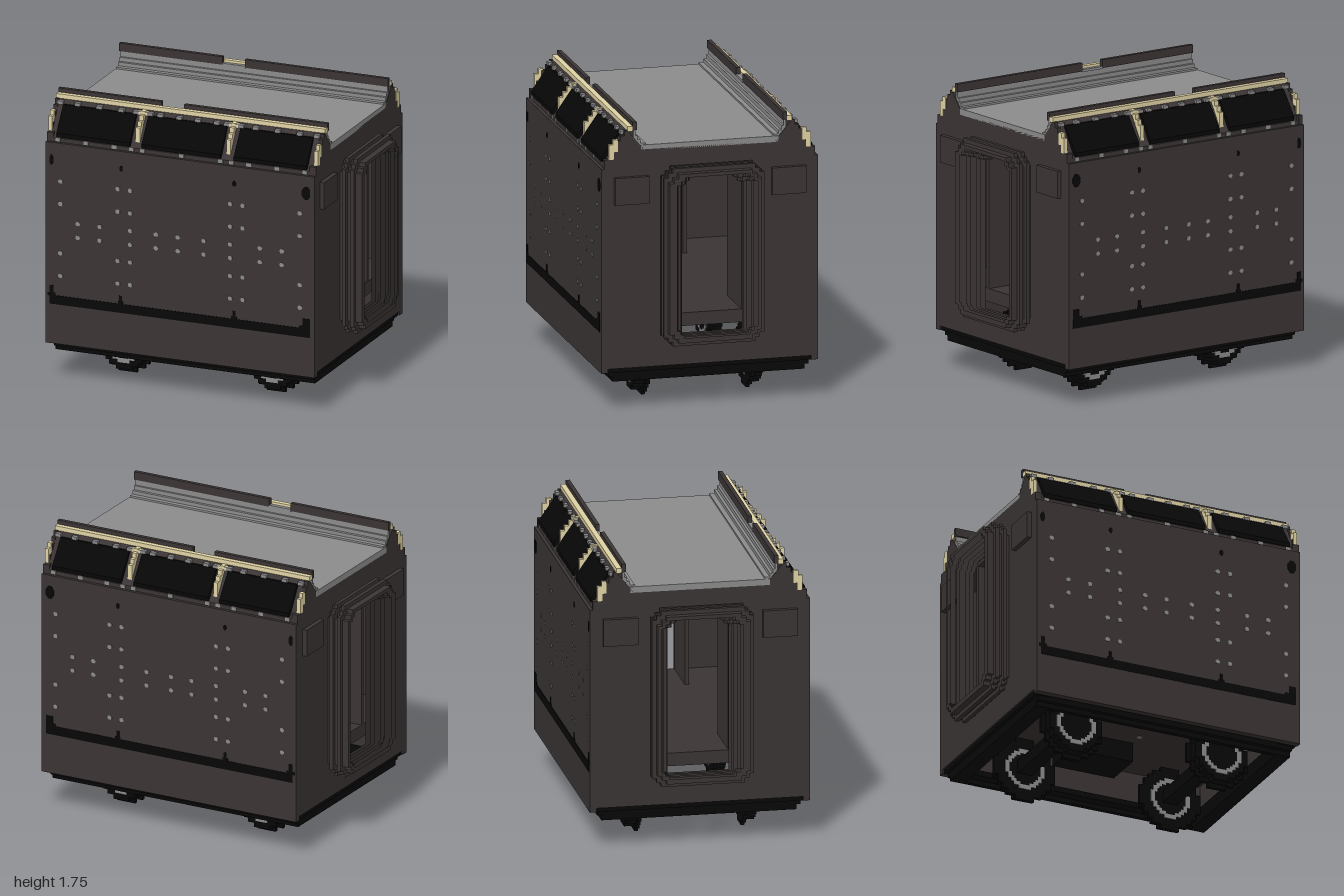
import * as THREE from 'three';

const mat = (name, color) => {
  const m = new THREE.MeshStandardMaterial({ color, flatShading: true });
  m.name = name;
  return m;
};

export function createModel() {
  const root = new THREE.Group();
  root.name = 'railCarriage';
  const brown = mat('dark brown', 0x3b3434);
  const black = mat('black', 0x070707);
  const grey = mat('roof grey', 0x8b8b8b);
  const cream = mat('cream', 0xdfd2a4);

  const add = (geo, m, name) => {
    const mesh = new THREE.Mesh(geo, m);
    mesh.name = name;
    root.add(mesh);
    return mesh;
  };
  // box given by its limits on each axis
  const box = (name, m, x0, x1, y0, y1, z0, z1) => {
    const mesh = add(new THREE.BoxGeometry(Math.abs(x1 - x0), Math.abs(y1 - y0), Math.abs(z1 - z0)), m, name);
    mesh.position.set((x0 + x1) / 2, (y0 + y1) / 2, (z0 + z1) / 2);
  };
  // section of [z, y] points swept along x, with an optional hole
  const sweep = (name, m, pts, x0, x1, hole) => {
    const toV = (list) => list.map(([z, y]) => new THREE.Vector2(-z, y));
    const shape = new THREE.Shape(toV(pts));
    if (hole) shape.holes.push(new THREE.Path(toV(hole)));
    const geo = new THREE.ExtrudeGeometry(shape, { depth: Math.abs(x1 - x0), bevelEnabled: false });
    geo.rotateY(Math.PI / 2).translate(Math.min(x0, x1), 0, 0);
    add(geo, m, name);
  };
  // rectangle with corners cut in two steps, s at the top and b at the bottom
  const stepped = (z0, z1, y0, y1, s, b = s) => {
    if (b === 0) b = 0.001;
    const out = [];
    const corner = [[0, 2], [1, 2], [1, 1], [2, 1], [2, 0]];
    const back = [...corner].reverse();
    corner.forEach(([i, j]) => out.push([z0 + i * b, y0 + j * b]));
    back.forEach(([i, j]) => out.push([z1 - i * b, y0 + j * b]));
    corner.forEach(([i, j]) => out.push([z1 - i * s, y1 - j * s]));
    back.forEach(([i, j]) => out.push([z0 + i * s, y1 - j * s]));
    return out;
  };
  // stair-edged circle outline of radius r
  const stair = (r) => {
    const quarter = [[0.3, 1], [0.3, 0.85], [0.55, 0.85], [0.55, 0.7], [0.7, 0.7], [0.7, 0.55], [0.85, 0.55], [0.85, 0.3], [1, 0.3]];
    const out = [];
    for (let q = 0; q < 4; q++)
      for (const [a, b] of quarter) {
        const [x, y] = [[a, b], [b, -a], [-a, -b], [-b, a]][q];
        out.push(new THREE.Vector2(x * r, y * r));
      }
    return out;
  };

  // floor, ceiling and roof
  box('floor', brown, -0.83, 0.83, 0.48, 0.56, -0.64, 0.64);
  box('ceiling', brown, -0.83, 0.83, 1.45, 1.48, -0.63, 0.63);
  box('roof', grey, -0.86, 0.86, 1.57, 1.607, -0.42, 0.42);

  // thin eight-sided spot on a side wall
  const spotGeo = new THREE.CylinderGeometry(0.5, 0.5, 0.008, 8).rotateY(Math.PI / 8).rotateX(Math.PI / 2);
  const spot = (name, m, x, y, w, h, s) => {
    const mesh = add(spotGeo, m, name);
    mesh.position.set(x, y, s * 0.659);
    mesh.scale.set(w, h, 1);
  };

  for (const s of [1, -1]) {
    const side = (pts) => pts.map(([z, y]) => [s * z, y]);

    // long side wall and underframe rails
    box('sideWall', brown, -0.86, 0.86, 0.23, 1.475, s * 0.62, s * 0.66);
    box('sideSill', black, -0.83, 0.83, 0.2, 0.235, s * 0.5, s * 0.61);
    box('sideRail', black, -0.83, 0.83, 0.17, 0.205, s * 0.56, s * 0.585);

    // black strip with raised ends, and the small slots above
    box('sideStrip', black, -0.835, 0.83, 0.475, 0.53, s * 0.655, s * 0.663);
    for (const [x, w, h] of [[-0.822, 0.026, 0.06], [-0.38, 0.018, 0.05], [0.345, 0.018, 0.05], [0.808, 0.046, 0.06]]) {
      box('stripBump', black, x - w / 2, x + w / 2, 0.53, 0.53 + h, s * 0.655, s * 0.663);
      box('stripFoot', black, x - w, Math.min(x + w, 0.83), 0.525, 0.545, s * 0.655, s * 0.663);
    }
    for (const [x, w, h] of [[-0.823, 0.028, 0.065], [-0.378, 0.022, 0.036], [0.345, 0.024, 0.036], [0.805, 0.058, 0.085]])
      spot('slot', black, x, 1.368, w, h, s);

    // rivets on the wall
    for (const y of [1.24, 1.1, 0.795, 0.655])
      for (const x of [-0.765, -0.4, -0.32, 0.32, 0.4, 0.765]) spot('rivet', grey, x, y, 0.03, 0.028, s);
    for (const y of [0.99, 0.905])
      for (const x of [-0.655, -0.515, -0.32, -0.155, -0.015, 0.15, 0.32, 0.51, 0.65]) spot('rivet', grey, x, y, 0.03, 0.028, s);

    // sloping shoulder that carries the windows
    sweep('shoulder', brown, side([[0.46, 1.475], [0.64, 1.475], [0.64, 1.5], [0.62, 1.52], [0.525, 1.68], [0.5, 1.7], [0.46, 1.7]]),
      -0.84, 0.84);
    for (const e of [1, -1])
      sweep('shoulderEndFrame', brown, side([[0.4, 1.475], [0.642, 1.475], [0.642, 1.53], [0.605, 1.53], [0.605, 1.58],
        [0.575, 1.58], [0.575, 1.64], [0.545, 1.64], [0.545, 1.67], [0.52, 1.67], [0.52, 1.7], [0.5, 1.7], [0.4, 1.58]]),
      e * 0.835, e * 0.86);

    // stepped grey slope between roof and rail
    sweep('roofSlope', grey, side([[0.39, 1.58], [0.465, 1.58], [0.465, 1.698], [0.452, 1.698], [0.452, 1.665], [0.438, 1.665],
      [0.438, 1.64], [0.42, 1.64], [0.42, 1.618], [0.39, 1.618]]), -0.855, 0.855);

    // three sloping windows
    for (const [x0, x1] of [[-0.8, -0.33], [-0.255, 0.25], [0.335, 0.8]])
      sweep('window', black, side([[0.62, 1.505], [0.643, 1.505], [0.643, 1.53], [0.541, 1.676], [0.515, 1.676]]), x0, x1);

    // cream posts following the slope
    const steps = [[0.585, 0.615, 1.53, 1.62], [0.56, 0.59, 1.575, 1.65], [0.525, 0.565, 1.63, 1.68], [0.5, 0.54, 1.66, 1.7]];
    for (const [x, w, n] of [[-0.85, 0.024, 2], [-0.29, 0.028, 4], [0.29, 0.028, 4], [0.85, 0.024, 2]]) {
      for (const [z0, z1, y0, y1] of steps.slice(0, n))
        box('creamPost', cream, x - w / 2, x + w / 2, y0, y1, s * z0, s * z1);
      if (n === 4) box('postCap', cream, x - 0.028, x + 0.028, 1.672, 1.695, s * 0.51, s * 0.54);
    }

    // studs along the window frame
    for (const x of [-0.82, -0.71, -0.57, -0.43, -0.335, -0.245, -0.18, -0.06, 0.06, 0.18, 0.245, 0.335, 0.43, 0.57, 0.71, 0.82])
      box('upperStud', grey, x - 0.018, x + 0.018, 1.674, 1.695, s * 0.515, s * 0.54);
    for (const x of [-0.79, -0.61, -0.43, -0.32, -0.25, 0, 0.25, 0.32, 0.43, 0.61, 0.79])
      box('lowerStud', grey, x - 0.015, x + 0.015, 1.48, 1.502, s * 0.63, s * 0.644);

    // cream gutter and the split rail above it
    box('gutter', cream, -0.86, 0.86, 1.695, 1.725, s * 0.47, s * 0.502);
    box('railLeft', brown, -0.055, 0.86, 1.7, 1.75, s * 0.445, s * 0.47);
    box('railRight', brown, -0.86, -0.2, 1.7, 1.75, s * 0.445, s * 0.47);
    box('railGap', grey, -0.2, -0.055, 1.695, 1.71, s * 0.445, s * 0.47);
  }

  for (const e of [1, -1]) {
    // end wall with doorway
    sweep('endWall', brown, [[-0.62, 0.255], [0.62, 0.255], [0.64, 0.23], [0.66, 0.23], [0.66, 1.475], [0.64, 1.475], [0.64, 1.53],
      [0.6, 1.53], [0.5, 1.58], [-0.5, 1.58], [-0.6, 1.53], [-0.64, 1.53], [-0.64, 1.475], [-0.66, 1.475], [-0.66, 0.23], [-0.64, 0.23]],
    e * 0.82, e * 0.86, stepped(-0.195, 0.17, 0.45, 1.4, 0.025, 0));
    box('endSillTop', black, e * 0.74, e * 0.85, 0.228, 0.258, -0.62, 0.62);
    box('endSill', black, e * 0.74, e * 0.83, 0.2, 0.23, -0.61, 0.61);
    box('endSillLower', black, e * 0.74, e * 0.83, 0.17, 0.2, -0.585, 0.585);
    // vestibule just inside the doorway
    box('vestibuleWall', brown, e * 0.5, e * 0.83, 0.55, 1.45, 0.175, 0.2);
    box('vestibuleWall', brown, e * 0.5, e * 0.83, 0.55, 1.45, -0.225, -0.2);
    box('vestibuleCeiling', brown, e * 0.5, e * 0.83, 1.405, 1.43, -0.2, 0.175);
    for (const s of [1, -1]) box('endPanel', brown, e * 0.86, e * 0.888, 1.255, 1.42, s * 0.375, s * 0.583);

    // bellows gangway, alternating ribs narrowing towards the doorway
    const ribs = [[0.86, 0.885, 0, 0], [0.885, 0.908, 0.026, 0.01], [0.908, 0.935, 0, 0.03],
      [0.935, 0.96, 0.026, 0.04], [0.96, 1, 0, 0.055]];
    for (const [x0, x1, o, i] of ribs)
      sweep('bellowsRib', brown, stepped(-0.28 - o, 0.28 + o, 0.42 - o, 1.45 + o, 0.027), e * x0, e * x1,
        stepped(-0.2 - i, 0.18 + i, 0.45, 1.4 + i * 0.5, 0.024, i * 0.4));

    // wheelset with stair-edged wheels
    const disc = (name, m, r, z0, z1, inner) => {
      const shape = new THREE.Shape(stair(r));
      if (inner) shape.holes.push(new THREE.Path(stair(inner)));
      const geo = new THREE.ExtrudeGeometry(shape, { depth: Math.abs(z1 - z0), bevelEnabled: false });
      add(geo, m, name).position.set(e * 0.475, 0.2, Math.min(z0, z1));
    };
    box('axle', black, e * 0.475 - 0.045, e * 0.475 + 0.045, 0.17, 0.25, -0.31, 0.31);
    for (const s of [1, -1]) {
      disc('wheelFlange', black, 0.2, s * 0.308, s * 0.33);
      disc('wheelTread', black, 0.17, s * 0.33, s * 0.39);
      disc('wheelRing', grey, 0.128, s * 0.39, s * 0.395, 0.1);
      disc('wheelRing', grey, 0.128, s * 0.303, s * 0.308, 0.1);
    }
  }

  // equipment under the floor
  box('underfloorBox', black, -0.2, 0.2, 0.36, 0.48, -0.5, -0.24);
  for (const [x, z, r] of [[0, 0, 0.03], [-0.2, 0.15, 0.015], [0.2, 0.15, 0.015], [-0.2, -0.15, 0.015], [0.2, -0.15, 0.015]])
    box('underStud', grey, x - r, x + r, 0.475, 0.482, z - r, z + r);

  return root;
}
